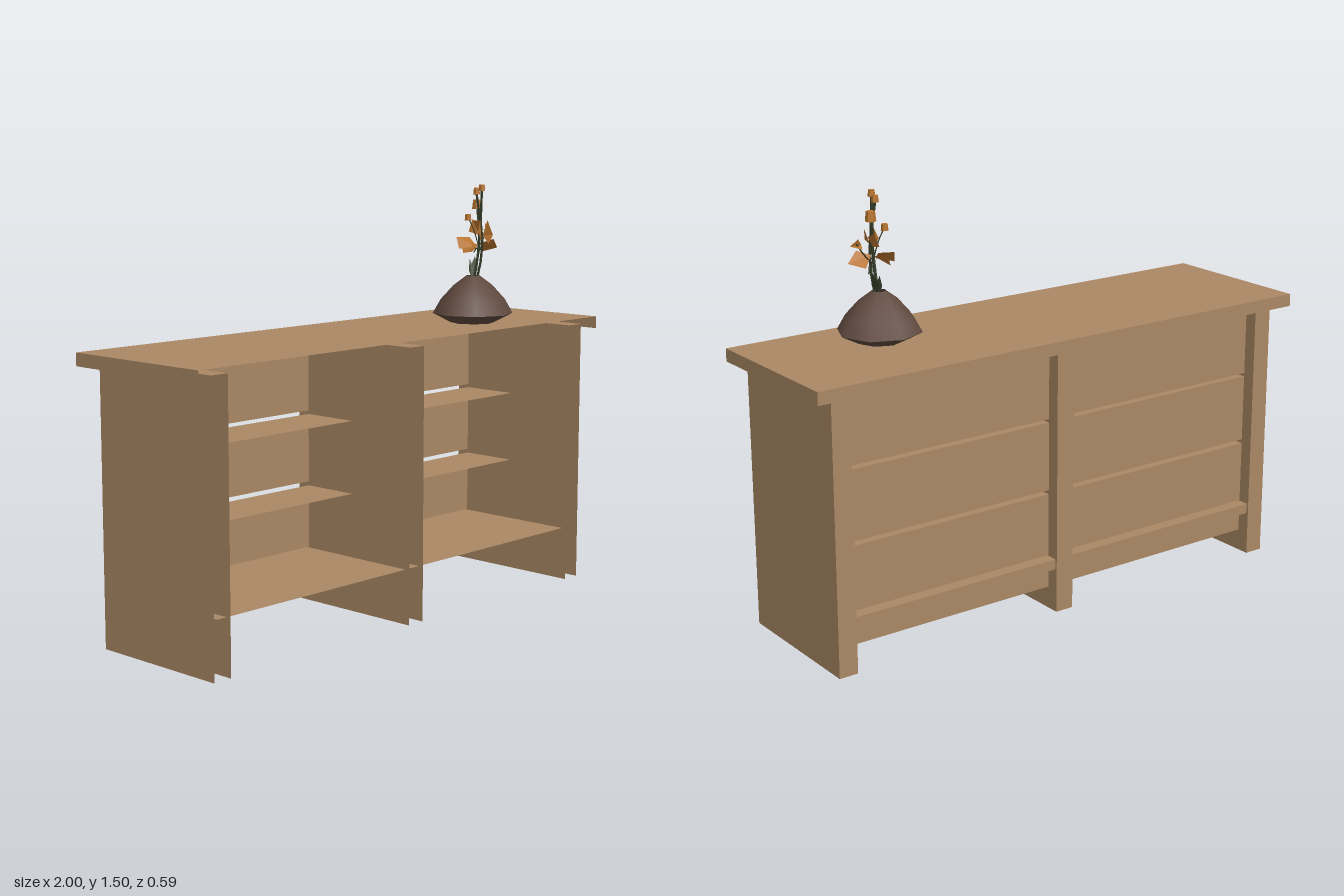
import * as THREE from 'three';

const makeMaterial = (name, color) => {
  const m = new THREE.MeshStandardMaterial({ color, side: THREE.DoubleSide });
  m.name = name;
  return m;
};

export function createModel() {
  const model = new THREE.Group();
  model.name = 'counterWithVase';
  const wood = makeMaterial('wood', 0xaa8864);
  const clay = makeMaterial('clay', 0x5f483e);
  const green = makeMaterial('stemGreen', 0x38402a);
  const orange = makeMaterial('petalOrange', 0xb8742f);

  const add = (name, geometry, material, parent = model) => {
    const mesh = new THREE.Mesh(geometry, material);
    mesh.name = name;
    parent.add(mesh);
    return mesh;
  };

  // Box shell left open at the front and underneath
  const shell = (name, [x0, x1], [y0, y1], [z0, z1]) => {
    const g = new THREE.BoxGeometry(x1 - x0, y1 - y0, z1 - z0);
    const index = Array.from(g.index.array);
    g.setIndex([...index.slice(0, 18), ...index.slice(30, 36)]);
    g.clearGroups();
    g.translate((x0 + x1) / 2, (y0 + y1) / 2, (z0 + z1) / 2);
    return add(name, g, wood);
  };

  // Counter: top, uprights, three stacked trays, bottom shelf and kick board
  shell('counterTop', [-1, 1], [0.955, 1], [-0.297, 0.297]);
  for (const x of [-0.93, -0.022, 0.865]) {
    shell('upright', [x, x + 0.07], [0, 0.975], [-0.265, 0.275]);
  }
  for (const [y0, y1] of [[0.2, 0.428], [0.443, 0.69], [0.703, 0.945]]) {
    shell('tray', [-0.917, 0.91], [y0, y1], [-0.217, 0]);
  }
  shell('bottomShelf', [-0.9, 0.883], [0.16, 0.197], [-0.258, 0.257]);
  add('kickBoard', new THREE.PlaneGeometry(1.783, 0.08), wood).position.set(-0.008, 0.12, -0.217);

  // Vase: eight-sided dome over a shallow cone
  const vase = new THREE.Group();
  vase.name = 'vase';
  vase.position.set(0.537, 0, 0.078);
  model.add(vase);
  const lathe = (pts) => new THREE.LatheGeometry(pts.map(([r, y]) => new THREE.Vector2(r, y)), 8);
  add('vaseBase', lathe([[0, 0.958], [0.147, 1.034]]), clay, vase);
  add('vaseDome', lathe([[0.147, 1.034], [0.118, 1.085], [0.072, 1.136], [0.024, 1.172]]), clay, vase);

  // Flowers, placed in world units
  const flowers = new THREE.Group();
  flowers.name = 'flowers';
  model.add(flowers);
  const V = (p) => new THREE.Vector3(...p);

  // Stems, thin tubes
  const stems = [
    [[0.53, 1.1, 0.08], [0.54, 1.3, 0.105], [0.53, 1.49, 0.122]],
    [[0.54, 1.1, 0.08], [0.55, 1.28, 0.11], [0.535, 1.47, 0.093]],
    [[0.54, 1.1, 0.07], [0.545, 1.3, 0.1], [0.57, 1.43, 0.066]],
    [[0.54, 1.28, 0.1], [0.525, 1.34, 0.09], [0.513, 1.385, 0.072]],
    [[0.545, 1.26, 0.1], [0.59, 1.3, 0.08], [0.63, 1.345, 0.06]],
    [[0.54, 1.24, 0.1], [0.58, 1.27, 0.06], [0.61, 1.25, 0.02]],
  ];
  stems.forEach((p, i) => {
    const curve = new THREE.CatmullRomCurve3(p.map(V));
    add('stem', new THREE.TubeGeometry(curve, 6, i < 3 ? 0.0055 : 0.0025, 4), green, flowers);
  });

  // Buds
  for (const [x, y, z, r] of [[0.53, 1.493, 0.122, 0.013], [0.535, 1.48, 0.093, 0.013],
    [0.57, 1.43, 0.066, 0.019], [0.513, 1.385, 0.072, 0.013]]) {
    const g = new THREE.CylinderGeometry(r * 0.8, r, r * 1.8, 6).toNonIndexed();
    g.computeVertexNormals();
    add('bud', g, orange, flowers).position.set(x, y, z);
  }

  // Folded leaf or petal: base, two sides and a tip
  const blade = (name, material, ...corners) => {
    const [a, b, c, d] = corners;
    const g = new THREE.BufferGeometry();
    g.setAttribute('position', new THREE.Float32BufferAttribute([a, b, c, a, c, d].flat(), 3));
    g.computeVertexNormals();
    add(name, g, material, flowers);
  };
  blade('leaf', green, [0.545, 1.16, 0.07], [0.552, 1.2, 0.052], [0.575, 1.24, 0.055], [0.567, 1.195, 0.075]);
  blade('leaf', green, [0.54, 1.16, 0.07], [0.535, 1.19, 0.06], [0.55, 1.23, 0.05], [0.555, 1.2, 0.065]);

  const petals = [
    [[0.545, 1.3, 0.11], [0.5, 1.335, 0.13], [0.525, 1.375, 0.12], [0.56, 1.37, 0.055]],
    [[0.54, 1.32, 0.12], [0.495, 1.295, 0.185], [0.525, 1.325, 0.18], [0.56, 1.375, 0.125]],
    [[0.54, 1.285, 0.1], [0.47, 1.265, 0.13], [0.5, 1.255, 0.06], [0.53, 1.3, 0.03]],
    [[0.55, 1.29, 0.1], [0.59, 1.305, 0.13], [0.635, 1.27, 0.11], [0.59, 1.255, 0.07]],
    [[0.55, 1.32, 0.09], [0.58, 1.36, 0.07], [0.57, 1.375, 0.045], [0.555, 1.33, 0.04]],
    [[0.6, 1.335, 0.08], [0.62, 1.36, 0.065], [0.655, 1.34, 0.06], [0.62, 1.33, 0.04]],
    [[0.54, 1.28, 0.09], [0.56, 1.31, 0.04], [0.51, 1.31, 0.02], [0.49, 1.27, 0.05]],
  ];
  petals.forEach((p) => blade('petal', orange, ...p));

  return model;
}
